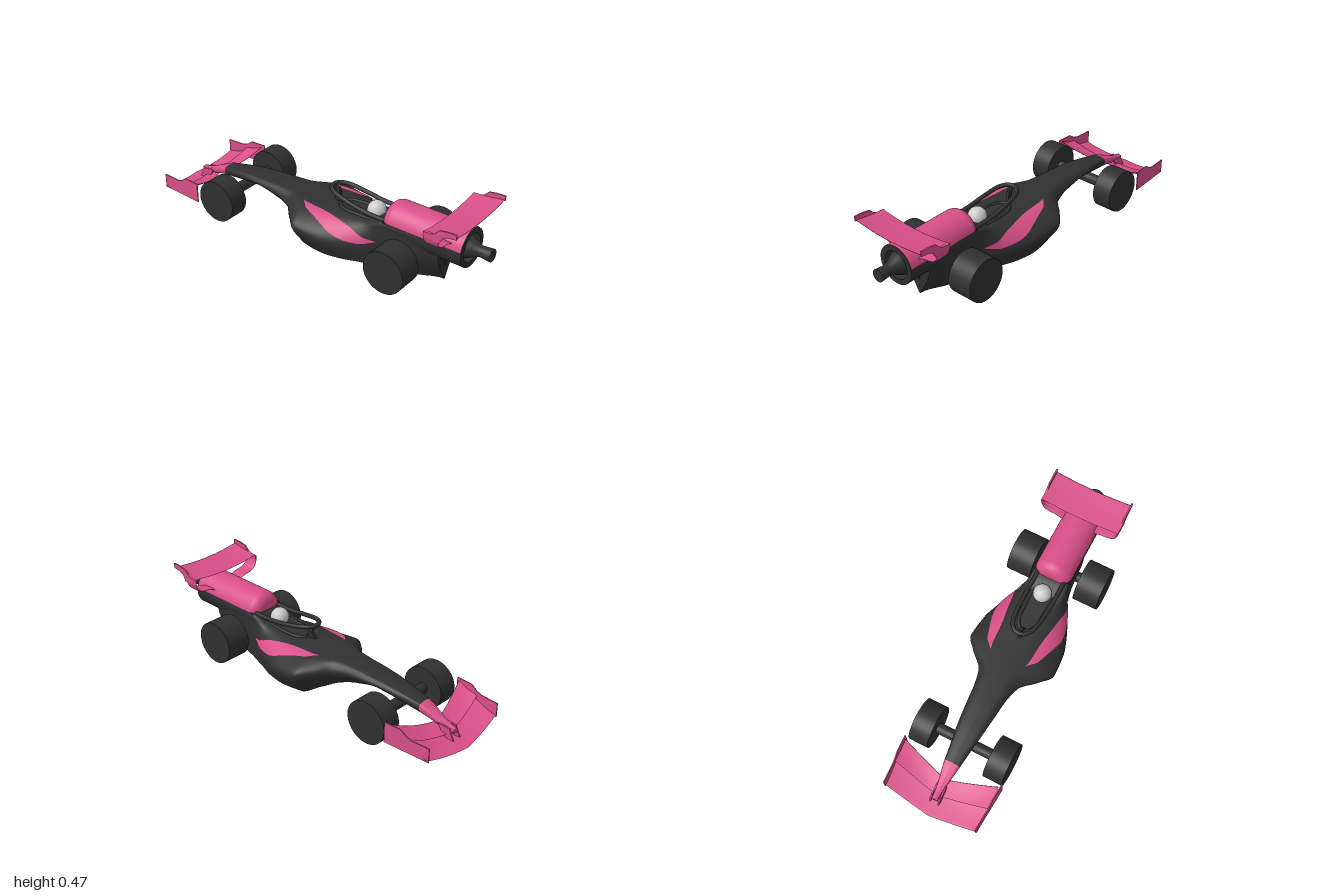
import * as THREE from 'three';

const dark = new THREE.MeshStandardMaterial({ color: 0x303030, side: THREE.DoubleSide });
const pink = new THREE.MeshStandardMaterial({ color: 0xd94f87, side: THREE.DoubleSide });
const grey = new THREE.MeshStandardMaterial({ color: 0xcccccc });
const lerp = THREE.MathUtils.lerp;
const V = (x, y, z) => new THREE.Vector3(x, y, z);

// Body stations: x, deck half width, top y, widest half width, its y, floor half width, floor y
const stations = [
  [-0.92, 0.012, 0.115, 0.018, 0.1, 0.012, 0.088],
  [-0.72, 0.035, 0.185, 0.045, 0.16, 0.035, 0.135],
  [-0.45, 0.05, 0.225, 0.08, 0.195, 0.05, 0.165],
  [-0.3, 0.06, 0.233, 0.095, 0.19, 0.05, 0.13],
  [-0.2, 0.07, 0.235, 0.12, 0.175, 0.07, 0.095],
  [-0.11, 0.085, 0.235, 0.205, 0.165, 0.12, 0.05],
  [-0.04, 0.09, 0.235, 0.254, 0.15, 0.18, 0.02],
  [0.1, 0.09, 0.237, 0.242, 0.13, 0.2, 0.02],
  [0.2, 0.09, 0.238, 0.21, 0.12, 0.185, 0.02],
  [0.3, 0.095, 0.242, 0.165, 0.12, 0.15, 0.02],
  [0.42, 0.104, 0.28, 0.112, 0.15, 0.11, 0.02],
  [0.6, 0.104, 0.28, 0.1, 0.15, 0.06, 0.02],
  [0.74, 0.1, 0.28, 0.07, 0.15, 0.004, 0.02],
];

// Smooth station values without overshoot
function station(v) {
  const i = Math.min(Math.floor(v), stations.length - 2), t = v - i;
  const slope = (k, c) => {
    if (k <= 0 || k >= stations.length - 1) return 0;
    const a = stations[k][c] - stations[k - 1][c], b = stations[k + 1][c] - stations[k][c];
    return a * b <= 0 ? 0 : (2 * a * b) / (a + b);
  };
  return stations[i].map((p, c) => {
    const q = stations[i + 1][c], t2 = t * t, t3 = t2 * t;
    if (c === 0) return lerp(p, q, t);
    return p * (2 * t3 - 3 * t2 + 1) + slope(i, c) * (t3 - 2 * t2 + t) + q * (3 * t2 - 2 * t3) + slope(i + 1, c) * (t3 - t2);
  });
}

// Point on the upper skin; s runs from one floor edge (-1) over the deck to the other (1)
function skin(v, s) {
  const [x, deck, top, mid, midY, floor, bottom] = station(v);
  const p = new THREE.CatmullRomCurve3([
    V(x, top + 0.002, 0), V(x, top - 0.004, deck), V(x, lerp(top, midY, 0.3), lerp(deck, mid, 0.5)),
    V(x, midY, mid), V(x, bottom, floor),
  ]).getPoint(Math.abs(s));
  p.z = Math.max(p.z, 0) * Math.sign(s);
  return p;
}

// Surface from a function of (u, v), both 0..1
function grid(fn, nu, nv) {
  const pos = [], idx = [];
  for (let j = 0; j <= nv; j++) for (let i = 0; i <= nu; i++) {
    pos.push(...fn(i / nu, j / nv).toArray());
    if (i < nu && j < nv) {
      const a = j * (nu + 1) + i, b = a + nu + 1;
      idx.push(a, a + 1, b, b, a + 1, b + 1);
    }
  }
  const g = new THREE.BufferGeometry();
  g.setAttribute('position', new THREE.Float32BufferAttribute(pos, 3));
  g.setIndex(idx);
  g.computeVertexNormals();
  return g;
}

const lathe = (pts, start = 0, length = Math.PI * 2) => new THREE.LatheGeometry(
  pts.map(([r, x]) => new THREE.Vector2(r, x)), 32, start, length).rotateZ(-Math.PI / 2).translate(0, 0.265, 0);

function plate(pts, thickness) {
  const shape = new THREE.Shape(pts.map(([x, y]) => new THREE.Vector2(x, y)));
  return new THREE.ExtrudeGeometry(shape, { depth: thickness, bevelEnabled: false }).translate(0, 0, -thickness / 2);
}

export function createModel() {
  const model = new THREE.Group();
  const add = (name, geometry, material) => {
    const m = new THREE.Mesh(geometry, material);
    m.name = name;
    model.add(m);
    return m;
  };

  // Nose cone and main body, each with skin, floor and end caps
  const loft = (name, v0, v1, mat) => {
    const n = Math.ceil((v1 - v0) * 6);
    add(name, grid((u, t) => skin(lerp(v0, v1, t), u * 2 - 1), 48, n), mat);
    add(name + 'Floor', grid((u, t) => {
      const p = skin(lerp(v0, v1, t), 1);
      return p.setZ(p.z * (u * 2 - 1));
    }, 2, n), mat);
    for (const v of [v0, v1]) add(name + 'Cap', grid((u, t) => {
      const p = skin(v, u);
      return p.setZ(p.z * (t * 2 - 1));
    }, 24, 2), mat);
  };
  loft('nose', 0, 1, pink);
  loft('body', 1, stations.length - 1, dark);

  // Keel fairing under the engine
  const keel = new THREE.Shape();
  keel.moveTo(0.66, 0.02);
  keel.lineTo(0.74, 0.02);
  keel.lineTo(0.74, 0.1);
  keel.quadraticCurveTo(0.75, 0.152, 0.83, 0.16);
  keel.lineTo(0.83, 0.2);
  keel.lineTo(0.66, 0.2);
  add('keel', new THREE.ExtrudeGeometry(keel, { depth: 0.012, bevelEnabled: false }).translate(0, 0, -0.006), dark);

  for (const side of [-1, 1]) {
    // Crescent trim along the side pod
    add('sideTrim', grid((u, t) => {
      const p = skin(lerp(5.3, 9.8, t), side * (lerp(0.3, 0.72, t) + (u - 0.5) * 0.24 * Math.sin(Math.PI * t)));
      p.y += 0.003;
      p.z += side * 0.004;
      return p;
    }, 8, 40), pink);

    // Wheels
    for (const [name, x, inner] of [['frontWheel', -0.575, 0.165], ['rearWheel', 0.547, 0.134]]) {
      const w = add(name, new THREE.CylinderGeometry(0.12, 0.12, 0.277 - inner, 40).rotateX(Math.PI / 2), dark);
      w.position.set(x, 0.12, side * (0.277 + inner) / 2);
    }

    // Front wing end plate, toed slightly outward at the rear
    const end = add('frontEndPlate', plate([[-0.97, 0.075], [-0.705, 0.075], [-0.705, 0.19], [-0.8, 0.19],
      [-0.835, 0.165], [-0.865, 0.155], [-0.97, 0.155]], 0.006), pink);
    end.geometry.translate(0.84, 0, 0);
    end.position.set(-0.84, 0, side * 0.277);
    end.rotation.y = -side * 0.06;

    // Nose pylon down to the wing
    const pylon = add('nosePylon', plate([[-0.93, 0.055], [-0.87, 0.055], [-0.83, 0.12], [-0.9, 0.115]], 0.008), pink);
    pylon.position.z = side * 0.025;

    // Rear wing end plate
    add('rearEndPlate', plate([[0.74, 0.4], [0.83, 0.385], [0.85, 0.42], [0.88, 0.435], [0.925, 0.44], [0.925, 0.468],
      [0.87, 0.465], [0.83, 0.458], [0.805, 0.432], [0.785, 0.422], [0.74, 0.42]], 0.008), pink).position.z = side * 0.226;

    // Curved sheet carrying the rear wing
    const path = new THREE.CatmullRomCurve3([V(0, 0.415, 0.226), V(0, 0.385, 0.225), V(0, 0.35, 0.207),
      V(0, 0.336, 0.175), V(0, 0.33, 0.135), V(0, 0.314, 0.095)]);
    add('rearWingSupport', grid((u, t) => {
      const p = path.getPoint(t), a = u * Math.PI * 2, c = Math.cos(a), tan = path.getTangent(t);
      return V(0.782 + 0.042 * Math.sign(c) * Math.sqrt(Math.abs(c)), p.y + tan.z * 0.004 * Math.sin(a),
        side * (p.z - tan.y * 0.004 * Math.sin(a)));
    }, 24, 30), pink);
  }

  // Axles
  for (const [name, x] of [['frontAxle', -0.575], ['rearAxle', 0.547]])
    add(name, new THREE.CylinderGeometry(0.03, 0.03, 0.4, 24).rotateX(Math.PI / 2).translate(x, 0.122, 0), dark);

  // Swept front wing: main plane and raised flap
  const sweptWing = (name, front, back, yFront, yBack) => add(name, grid((u, t) => {
    const s = u * 2 - 1, k = Math.abs(s), a = t * Math.PI * 2, c = (1 - Math.cos(a)) / 2;
    const y = lerp(lerp(yFront[0], yFront[1], k * k), lerp(yBack[0], yBack[1], k * k), c * c);
    return V(lerp(lerp(...front, k), lerp(...back, k), c), y + 0.005 * Math.sin(a), s * 0.275);
  }, 32, 24), pink);
  sweptWing('frontWing', [-1, -0.965], [-0.86, -0.81], [0.04, 0.085], [0.062, 0.13]);
  sweptWing('frontFlap', [-0.89, -0.84], [-0.8, -0.72], [0.075, 0.14], [0.105, 0.18]);

  // Bowed rear wing
  add('rearWing', grid((u, t) => {
    const s = u * 2 - 1, a = t * Math.PI * 2, c = (1 - Math.cos(a)) / 2;
    return V(lerp(0.745, 0.922, c), 0.404 + 0.022 * c * c + 0.019 * s * s + 0.004 * Math.sin(a), s * 0.225);
  }, 24, 24), pink);

  // Engine: lower shell, upper cover with a rounded front, end ring and nozzle
  const tilt = 0.19;
  add('engineShell', lathe([[0, 0.42], [0.106, 0.42], [0.106, 0.88]], -tilt, Math.PI + 2 * tilt), dark);
  const cover = [[0, 0.403]];
  for (let i = 0; i <= 8; i++) {
    const a = (i / 8) * Math.PI / 2;
    cover.push([0.052 + 0.056 * Math.sin(a), 0.459 - 0.056 * Math.cos(a)]);
  }
  cover.push([0.108, 0.88]);
  add('engineCover', lathe(cover, Math.PI + tilt, Math.PI - 2 * tilt), pink);
  for (const [a, b] of [[[0.107, 0.876], [0.107, 0.884]], [[0.107, 0.884], [0.078, 0.884]],
    [[0.078, 0.884], [0.078, 0.83]], [[0.078, 0.83], [0, 0.83]]]) add('engineRing', lathe([a, b]), dark);
  add('nozzle', lathe([[0.07, 0.83], [0.062, 0.865], [0.045, 0.9], [0.031, 0.93], [0.03, 0.945], [0.035, 1]]), dark);
  add('nozzleCap', lathe([[0.035, 1], [0, 1]]), dark);

  // Cockpit rim, protective hoop with its pillar, and driver's helmet
  const hoop = [[0.42, 0.28, 0.078], [0.3, 0.283, 0.078], [0.18, 0.3, 0.074], [0.08, 0.317, 0.058], [0.036, 0.322, 0.025]];
  const mirrored = (pts) => [...pts.map(([x, y, z]) => V(x, y, z)), ...pts.slice().reverse().map(([x, y, z]) => V(x, y, -z))];
  add('hoop', new THREE.TubeGeometry(new THREE.CatmullRomCurve3(mirrored(hoop)), 60, 0.012, 12), dark);
  add('cockpitRim', new THREE.TubeGeometry(new THREE.CatmullRomCurve3(
    mirrored([[0.42, 0.245, 0.06], [0.25, 0.238, 0.06], [0.13, 0.236, 0.05], [0.09, 0.236, 0.02]])), 50, 0.01, 10), dark);
  add('hoopPillar', plate([[0.03, 0.23], [0.11, 0.23], [0.085, 0.255], [0.072, 0.315], [0.045, 0.32], [0.056, 0.27]], 0.016), dark);
  add('helmet', new THREE.SphereGeometry(0.051, 32, 20).translate(0.312, 0.27, 0), grey);

  return model;
}
